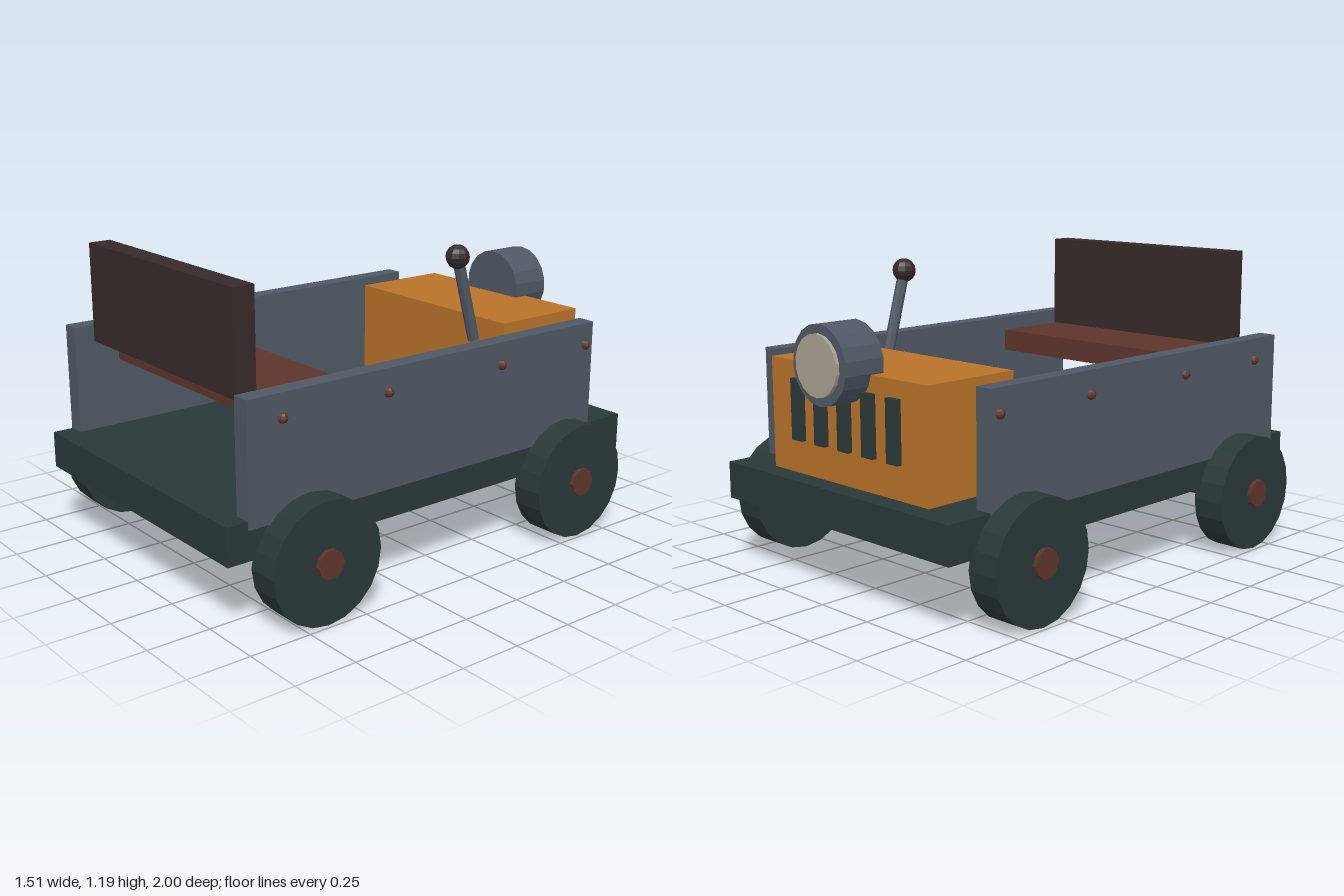
import * as THREE from 'three';

const mat = (name, color) => {
  const m = new THREE.MeshStandardMaterial({ color, flatShading: true });
  m.name = name;
  return m;
};

export function createModel() {
  const car = new THREE.Group();
  car.name = 'toyCar';

  const darkGreen = mat('darkGreen', 0x2a3838);
  const slate = mat('slate', 0x4f5864);
  const orange = mat('orange', 0xb87228);
  const brown = mat('brown', 0x5d352b);
  const darkBrown = mat('darkBrown', 0x352a29);
  const cream = mat('cream', 0xa8a290);

  const add = (name, geometry, material, x = 0, y = 0, z = 0) => {
    const mesh = new THREE.Mesh(geometry, material);
    mesh.name = name;
    mesh.position.set(x, y, z);
    car.add(mesh);
    return mesh;
  };

  // Box given by its minimum and maximum on each axis
  const box = (name, material, [x0, x1], [y0, y1], [z0, z1]) =>
    add(name, new THREE.BoxGeometry(x1 - x0, y1 - y0, z1 - z0), material,
      (x0 + x1) / 2, (y0 + y1) / 2, (z0 + z1) / 2);

  // Body
  box('deck', darkGreen, [-0.625, 0.625], [0.275, 0.42], [-0.955, 1]);
  box('hood', orange, [-0.4375, 0.4375], [0.42, 0.85], [-0.87, -0.455]);
  box('seat', brown, [-0.475, 0.475], [0.718, 0.808], [0.43, 0.77]);
  box('backrest', darkBrown, [-0.49, 0.49], [0.805, 1.195], [0.777, 0.867]);

  // Grille slats on the hood
  for (let i = -2; i <= 2; i++) {
    const x = i * 0.135;
    box('grilleSlat', darkGreen, [x - 0.03, x + 0.03], [0.55, 0.785], [-0.89, -0.865]);
  }

  // Side panels with their rivets
  for (const s of [-1, 1]) {
    add('sidePanel', new THREE.BoxGeometry(0.072, 0.46, 1.675), slate, s * 0.595, 0.62, 0.0775);
    for (const z of [0.77, 0.305, -0.255, -0.72])
      add('rivet', new THREE.SphereGeometry(0.02, 8, 6), brown, s * 0.631, 0.76, z);
  }

  // Axles and wheels
  for (const z of [0.657, -0.611]) {
    add('axle', new THREE.CylinderGeometry(0.056, 0.056, 1.506, 10).rotateZ(Math.PI / 2), brown, 0, 0.236, z);
    for (const s of [-1, 1])
      add('wheel', new THREE.CylinderGeometry(0.234, 0.234, 0.13, 20).rotateZ(Math.PI / 2), darkGreen, s * 0.67, 0.234, z);
  }

  // Lamp
  add('lampHousing', new THREE.CylinderGeometry(0.149, 0.149, 0.172, 18).rotateX(Math.PI / 2), slate, 0, 0.88, -0.899);
  add('lampLens', new THREE.CylinderGeometry(0.115, 0.115, 0.03, 18).rotateX(Math.PI / 2), cream, 0, 0.88, -0.985);

  // Leaning lever with a knob
  const low = new THREE.Vector3(0.37, 0.79, -0.353);
  const top = new THREE.Vector3(0.37, 1.135, -0.257);
  const rod = add('leverRod', new THREE.CylinderGeometry(0.023, 0.023, low.distanceTo(top), 8), slate);
  rod.position.copy(low).lerp(top, 0.5);
  rod.quaternion.setFromUnitVectors(new THREE.Vector3(0, 1, 0), top.clone().sub(low).normalize());
  add('leverKnob', new THREE.SphereGeometry(0.048, 10, 8), darkBrown, top.x, top.y, top.z);

  return car;
}
